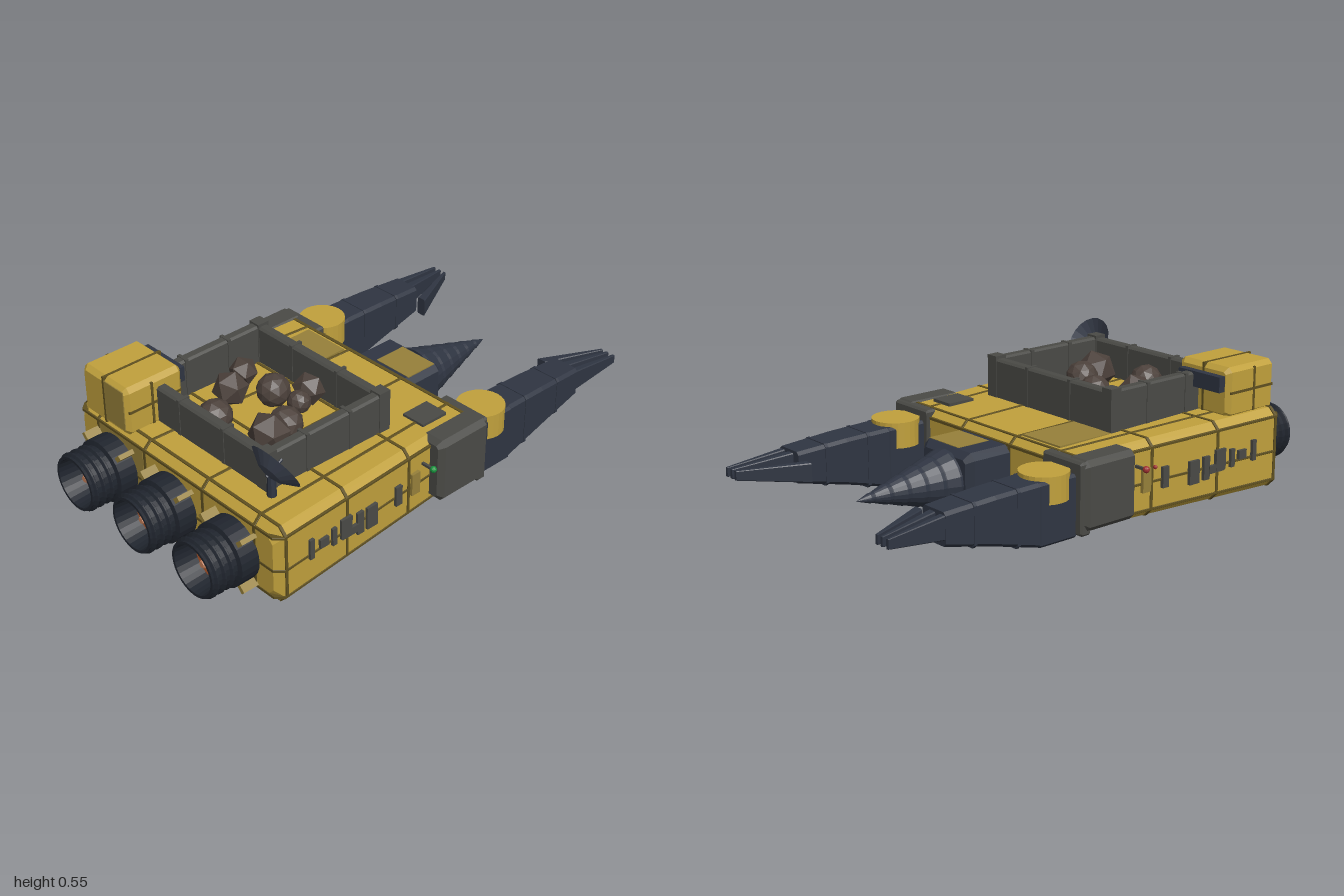
import * as THREE from 'three';

const mat = (color, side = THREE.FrontSide) => {
  const m = new THREE.MeshStandardMaterial({ color, flatShading: true });
  m.side = side;
  return m;
};
const YELLOW = mat(0xc0a03c), OCHRE = mat(0x96803a), SEAM = mat(0x5f5020), GREY = mat(0x4a4a46),
  SLATE = mat(0x2f3542), DISH = mat(0x3c4250, THREE.DoubleSide), NOZZLE = mat(0x20252e, THREE.DoubleSide),
  ORANGE = mat(0xb85a2c), PINK = mat(0xc8825c), ROCK = mat(0x4c413b), RED = mat(0xa03030), GREEN = mat(0x18903c);

// Chamfered rectangular cross-section, counter-clockwise seen from +z
function ring(cx, hw, y0, y1, c, z) {
  const a = cx - hw, b = cx + hw;
  return [[a + c, y0], [b - c, y0], [b, y0 + c], [b, y1 - c], [b - c, y1], [a + c, y1], [a, y1 - c], [a, y0 + c]]
    .map(([x, y]) => [x, y, z]);
}

// Skin over cross-sections ordered from +z to -z, with end caps
function loft(rings) {
  const p = [], n = rings[0].length;
  for (let i = 0; i < rings.length - 1; i++) for (let j = 0; j < n; j++) {
    const k = (j + 1) % n, a = rings[i], b = rings[i + 1];
    p.push(...a[j], ...b[j], ...a[k], ...a[k], ...b[j], ...b[k]);
  }
  const f = rings[0], e = rings[rings.length - 1];
  for (let j = 1; j < n - 1; j++) p.push(...f[0], ...f[j], ...f[j + 1], ...e[0], ...e[j + 1], ...e[j]);
  const g = new THREE.BufferGeometry();
  g.setAttribute('position', new THREE.Float32BufferAttribute(p, 3));
  g.computeVertexNormals();
  return g;
}

// Box with all edges chamfered
function chamferBox(x0, x1, y0, y1, z0, z1, c) {
  const cx = (x0 + x1) / 2, w = (x1 - x0) / 2;
  return loft([ring(cx, w - c, y0 + c, y1 - c, c * 0.5, z1), ring(cx, w, y0, y1, c, z1 - c),
    ring(cx, w, y0, y1, c, z0 + c), ring(cx, w - c, y0 + c, y1 - c, c * 0.5, z0)]);
}

// Hull taper along z
const t = z => (0.81 - z) / 1.01;
const hullW = z => 0.55 - 0.07 * t(z);
const hullLo = z => 0.035 + 0.013 * t(z);
const hullHi = z => 0.347 - 0.02 * t(z);

export function createModel() {
  const root = new THREE.Group();
  function add(name, geo, material, x = 0, y = 0, z = 0, parent = root) {
    const m = new THREE.Mesh(geo, material);
    m.name = name;
    m.position.set(x, y, z);
    parent.add(m);
    return m;
  }
  const box = (name, m, x, y, z, w, h, d, parent) => add(name, new THREE.BoxGeometry(w, h, d), m, x, y, z, parent);

  // Hull
  const ends = [[0.81, 0.03], [0.78, 0], [-0.17, 0], [-0.2, 0.03]];
  add('hull', loft(ends.map(([z, s]) =>
    ring(0, hullW(z) - s, hullLo(z) + s, hullHi(z) - s, 0.03, z))), YELLOW);

  // Panel seams: slabs standing slightly proud of the hull
  const e = 0.003;
  for (const z of [0.775, 0.48, 0.16, -0.165])
    add('crossSeam', loft([z + 0.006, z - 0.006].map(q =>
      ring(0, hullW(q) + e, hullLo(q) - e, hullHi(q) + e, 0.03, q))), SEAM);
  const seamEnds = ends.map(([z, s], i) => [z + (i < 2 ? e : -e), s]);
  for (const k of [-0.78, -0.29, 0.29, 0.78])
    add('lengthSeam', loft(seamEnds.map(([z, s]) =>
      ring(k * hullW(z), 0.006, hullLo(z) + s - e, hullHi(z) - s + e, 0.001, z))), SEAM);
  for (const f of [0.1, 0.46, 0.9])
    add('sideSeam', loft(seamEnds.map(([z, s]) => {
      const y = hullLo(z) + f * (hullHi(z) - hullLo(z));
      return ring(0, hullW(z) - s + e, y - 0.005, y + 0.005, 0.001, z);
    })), SEAM);

  // Darker plates
  box('frontPlate', OCHRE, -0.295, 0.19, 0.81, 0.25, 0.24, 0.004);
  box('deckPlate', OCHRE, -0.25, 0.331, -0.02, 0.2, 0.008, 0.25);
  box('deckHatch', GREY, 0.375, 0.335, -0.05, 0.1, 0.012, 0.12);

  // Engines
  const prof = [[0, 0.79], [0.122, 0.79], [0.122, 0.885], [0.104, 0.89]];
  for (let i = 0; i < 3; i++) {
    const z = 0.905 + i * 0.033;
    prof.push([0.104, z], [0.114, z + 0.006], [0.114, z + 0.012], [0.104, z + 0.018]);
  }
  prof.push([0.106, 1], [0.095, 1], [0.086, 0.9]);
  for (const x of [-0.33, 0, 0.33]) {
    const engine = new THREE.Group();
    engine.name = 'engine';
    engine.position.set(x, 0.176, 0);
    root.add(engine);
    add('nozzle', new THREE.LatheGeometry(prof.map(([r, z]) => new THREE.Vector2(r, z)), 28), NOZZLE, 0, 0, 0, engine)
      .rotation.x = Math.PI / 2;
    add('burner', new THREE.CylinderGeometry(0.094, 0.094, 0.02, 24), ORANGE, 0, 0, 0.905, engine).rotation.x = Math.PI / 2;
    add('burnerCone', new THREE.CylinderGeometry(0.012, 0.036, 0.05, 10), PINK, 0, 0, 0.935, engine).rotation.x = Math.PI / 2;
    for (let i = 0; i < 4; i++) {
      const a = Math.PI / 4 + i * Math.PI / 2;
      box('strut', OCHRE, Math.cos(a) * 0.13, Math.sin(a) * 0.13, 0.84, 0.045, 0.018, 0.07, engine).rotation.z = a;
    }
  }

  // Cargo bay walls with corner posts and panel ribs
  for (const s of [-1, 1]) {
    add('baySideWall', chamferBox(s * 0.325 - 0.022, s * 0.325 + 0.022, 0.32, 0.49, 0.105, 0.68, 0.008), GREY);
    add('bayEndWall', chamferBox(-0.34, 0.34, 0.32, 0.486, 0.3925 + s * 0.265 - 0.022, 0.3925 + s * 0.265 + 0.022, 0.008), GREY);
    for (const q of [-1, 1]) {
      box('bayPost', GREY, s * 0.325, 0.41, 0.3925 + q * 0.265, 0.05, 0.175, 0.05);
      box('bayRib', GREY, q * 0.12, 0.405, 0.3925 + s * 0.265, 0.014, 0.168, 0.05);
      box('bayRib', GREY, s * 0.325, 0.405, 0.3925 + q * 0.1, 0.05, 0.174, 0.014);
    }
  }

  // Ore load
  [[-0.23, 0.29, 0.056], [-0.05, 0.3, 0.065], [0.03, 0.2, 0.063], [0.055, 0.27, 0.045], [-0.16, 0.41, 0.07],
    [0.14, 0.41, 0.065], [0.155, 0.5, 0.08], [-0.065, 0.56, 0.065]].forEach(([x, z, r], i) =>
    add('rock', new THREE.IcosahedronGeometry(r, i % 2), ROCK, x, 0.35 + r * 0.7, z).rotation.set(i, i * 2, i * 3));

  // Bridge cabin
  add('cabin', chamferBox(-0.5, -0.24, 0.33, 0.527, 0.56, 0.815, 0.018), YELLOW);
  box('cabinPlate', OCHRE, -0.31, 0.435, 0.815, 0.11, 0.16, 0.004);
  box('cabinSeam', SEAM, -0.37, 0.434, 0.688, 0.01, 0.19, 0.258);
  box('cabinSeam', SEAM, -0.37, 0.43, 0.688, 0.264, 0.01, 0.23);
  box('cabinSeam', SEAM, -0.37, 0.43, 0.7, 0.264, 0.17, 0.01);
  box('cabinWindow', SLATE, -0.375, 0.465, 0.55, 0.21, 0.06, 0.04);

  // Dish antenna
  add('dishMast', new THREE.CylinderGeometry(0.014, 0.018, 0.13, 8), SLATE, 0.372, 0.395, 0.68);
  const dishPts = [[0, 0], [0.05, 0.012], [0.105, 0.045]].map(([r, y]) => new THREE.Vector2(r, y));
  add('dish', new THREE.LatheGeometry(dishPts, 20), DISH, 0.375, 0.433, 0.7).rotation.x = -1.04;
  add('dishFeed', new THREE.CylinderGeometry(0.005, 0.008, 0.08, 6), SLATE, 0.375, 0.452, 0.668).rotation.x = -1.04;

  // Drill
  add('drillHousing', chamferBox(-0.145, 0.145, 0.06, 0.3, -0.39, -0.17, 0.025), SLATE);
  box('drillHousingPlate', OCHRE, 0.04, 0.3, -0.29, 0.17, 0.004, 0.14);
  const steps = [[0, 0]];
  for (let i = 0; i < 6; i++) {
    const r = 0.112 * (1 - i / 6);
    steps.push([r, i * 0.065], [r, i * 0.065 + 0.014], [r - 0.016, i * 0.065 + 0.062]);
  }
  steps.push([0, 0.395]);
  add('drillBit', new THREE.LatheGeometry(steps.map(([r, y]) => new THREE.Vector2(Math.max(r, 0), y)), 20),
    SLATE, 0, 0.18, -0.385).rotation.x = -Math.PI / 2;

  // Mirrored shoulders, arms, claws and side fittings
  for (const s of [-1, 1]) {
    const arm = new THREE.Group();
    arm.name = s > 0 ? 'leftArm' : 'rightArm';
    root.add(arm);
    const span = (a, b) => [Math.min(s * a, s * b), Math.max(s * a, s * b)];
    add('shoulderPlate', chamferBox(...span(0.44, 0.555), 0.075, 0.335, -0.205, 0.045, 0.02), GREY, 0, 0, 0, arm);
    add('shoulderBracket', chamferBox(...span(0.33, 0.54), 0.06, 0.33, -0.212, -0.165, 0.008), GREY, 0, 0, 0, arm);
    add('pivot', new THREE.CylinderGeometry(0.092, 0.092, 0.1, 24), YELLOW, s * 0.43, 0.25, -0.29, arm);
    add('upperArm', chamferBox(...span(0.355, 0.51), 0.05, 0.285, -0.38, -0.2, 0.01), SLATE, 0, 0, 0, arm);
    add('forearm', loft([ring(s * 0.432, 0.074, 0.05, 0.285, 0.012, -0.37), ring(s * 0.432, 0.07, 0.1, 0.28, 0.012, -0.56),
      ring(s * 0.432, 0.062, 0.148, 0.268, 0.012, -0.77)]), SLATE, 0, 0, 0, arm);
    for (const z of [-0.465, -0.65]) {
      const u = (-z - 0.37) / 0.4;
      add('armBand', loft([z + 0.006, z - 0.006].map(q =>
        ring(s * 0.432, 0.077 - 0.012 * u, 0.046 + 0.1 * u, 0.289 - 0.016 * u, 0.012, q))), SLATE, 0, 0, 0, arm);
    }
    // Claw blades: base x, tip x, half width, base bottom, base top
    for (const [x0, x1, w, y0, y1] of [[0.476, 0.488, 0.016, 0.17, 0.26], [0.42, 0.457, 0.018, 0.17, 0.26], [0.328, 0.43, 0.02, 0.165, 0.24]])
      add('clawBlade', loft([ring(s * x0, w, y0, y1, 0.004, -0.755), ring(s * x1, 0.006, 0.197, 0.232, 0.002, -1)]),
        SLATE, 0, 0, 0, arm);

    // Side greebles: z, y, depth, height
    for (const [z, y, d, h] of [[0.66, 0.205, 0.02, 0.08], [0.6, 0.2, 0.04, 0.035], [0.55, 0.195, 0.02, 0.07], [0.49, 0.2, 0.05, 0.08],
      [0.47, 0.17, 0.08, 0.03], [0.42, 0.18, 0.03, 0.09], [0.36, 0.175, 0.05, 0.09], [0.22, 0.185, 0.03, 0.08], [0.13, 0.19, 0.04, 0.09]])
      box('sideFitting', z === 0.13 ? OCHRE : GREY, s * hullW(z), y, z, 0.024, h, d);
    add('navLight', new THREE.SphereGeometry(0.013, 10, 8), s > 0 ? GREEN : RED, s * 0.553, 0.25, 0.085);
    box('navLightStem', GREY, s * 0.525, 0.25, 0.085, 0.05, 0.01, 0.01);
  }
  add('smallNavLight', new THREE.SphereGeometry(0.008, 8, 6), RED, -0.553, 0.25, 0.13);

  // Belly domes and boxes
  for (const [x, z, r] of [[-0.06, 0.68, 0.018], [0.09, 0.3, 0.018], [0.14, 0.1, 0.018], [0.24, 0.2, 0.016], [0.355, -0.05, 0.022], [0.29, 0.02, 0.014]])
    add('bellyDome', new THREE.SphereGeometry(r, 10, 8), OCHRE, x, hullLo(z) - 0.005 - (r > 0.02 ? 0.018 : 0.004), z);
  for (const [x, z, w, d] of [[-0.32, 0.5, 0.045, 0.06], [-0.26, 0.1, 0.035, 0.06], [-0.05, 0.5, 0.05, 0.08], [0, 0.44, 0.1, 0.04], [0.1, 0.56, 0.03, 0.07], [-0.33, 0.05, 0.03, 0.03], [0.2, 0.4, 0.06, 0.04]])
    box('bellyFitting', GREY, x, hullLo(z) - 0.004, z, w, 0.024, d);

  return root;
}
